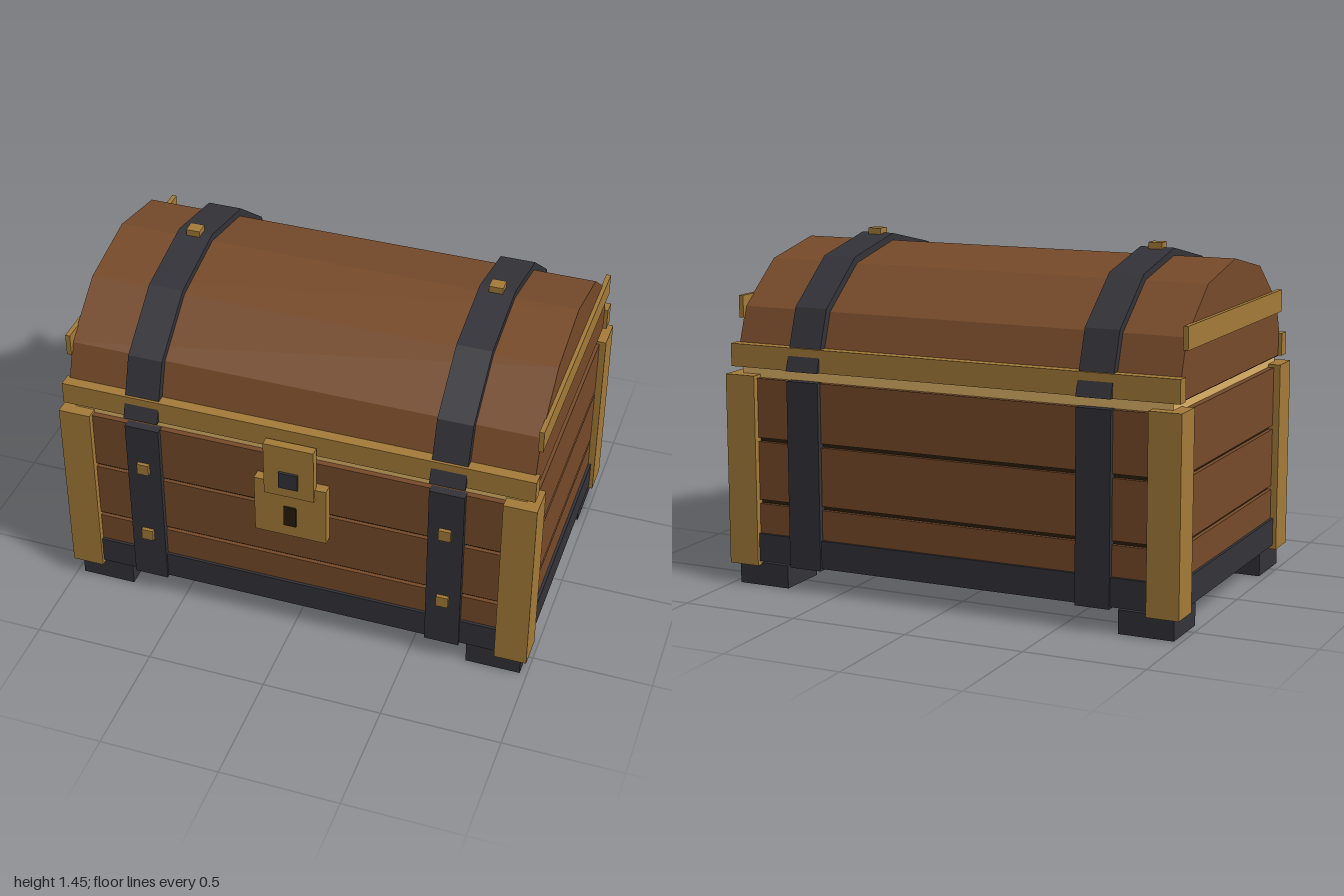
import * as THREE from 'three';

const mat = (name, color) => {
  const m = new THREE.MeshStandardMaterial({ color });
  m.name = name;
  return m;
};

export function createModel() {
  const wood = mat('wood', 0x774b2a);
  const brass = mat('brass', 0xa57c39);
  const iron = mat('iron', 0x333339);
  const pale = mat('paleTrim', 0xdfb468);
  const dark = mat('darkSeam', 0x2a1c0a);

  const root = new THREE.Group();
  root.name = 'treasureChest';
  // The chest body is centred slightly behind the origin, as the lock sticks out in front
  const chest = new THREE.Group();
  chest.name = 'chest';
  chest.position.z = -0.02;
  root.add(chest);

  // Box given by its extents on each axis
  const box = (name, m, [x0, x1], [y0, y1], [z0, z1]) => {
    const mesh = new THREE.Mesh(new THREE.BoxGeometry(x1 - x0, y1 - y0, z1 - z0), m);
    mesh.name = name;
    mesh.position.set((x0 + x1) / 2, (y0 + y1) / 2, (z0 + z1) / 2);
    chest.add(mesh);
  };
  const span = (c, w) => [c - w / 2, c + w / 2];
  const side = (s, a, b) => (s > 0 ? [a, b] : [-b, -a]);

  // Body: dark core showing through the gaps between three plank courses on each wall
  box('core', dark, [-0.955, 0.955], [0.125, 0.875], [-0.609, 0.609]);
  for (const [y0, y1] of [[0.11, 0.352], [0.369, 0.614], [0.631, 0.879]])
    for (const s of [1, -1]) {
      box('longPlank', wood, [-0.972, 0.972], [y0, y1], side(s, 0.585, 0.626));
      box('endPlank', wood, side(s, 0.931, 0.972), [y0, y1], [-0.585, 0.585]);
    }
  box('rim', pale, [-0.947, 0.947], [0.875, 0.922], [-0.602, 0.602]);

  // Iron band around the base
  for (const s of [1, -1]) {
    box('baseBandLong', iron, [-0.984, 0.984], [0.108, 0.226], side(s, 0.622, 0.638));
    box('baseBandEnd', iron, side(s, 0.968, 0.984), [0.108, 0.226], [-0.622, 0.622]);
  }

  // Corner posts and feet
  for (const sx of [1, -1])
    for (const sz of [1, -1]) {
      box('cornerPost', brass, side(sx, 0.865, 1), [0.09, 0.892], side(sz, 0.516, 0.652));
      box('foot', iron, side(sx, 0.74, 0.97), [0, 0.097], side(sz, 0.39, 0.622));
    }

  // Half ellipse in six straight steps, sitting on the lid line
  const arc = (a, b) => Array.from({ length: 7 }, (_, i) => {
    const t = (i * Math.PI) / 6;
    return new THREE.Vector2(a * Math.cos(t), b * Math.sin(t));
  });
  // Extrude a profile along x, centred on cx
  const extrudeX = (name, m, points, cx, width) => {
    const geo = new THREE.ExtrudeGeometry(new THREE.Shape(points), { depth: width, bevelEnabled: false });
    geo.translate(0, 0, -width / 2);
    geo.rotateY(Math.PI / 2);
    const mesh = new THREE.Mesh(geo, m);
    mesh.name = name;
    mesh.position.set(cx, 0.923, 0);
    chest.add(mesh);
  };

  // Barrel lid with its dark underside and rails
  extrudeX('lid', wood, arc(0.617, 0.475), 0, 1.94);
  box('lidUnderside', dark, [-0.968, 0.968], [0.92, 0.926], [-0.612, 0.612]);
  for (const s of [1, -1]) {
    box('lidRail', brass, [-0.985, 0.985], [0.922, 1.017], side(s, 0.575, 0.631));
    box('lidEndRail', brass, side(s, 0.966, 0.986), [1.114, 1.207], [-0.56, 0.56]);
  }

  // Iron straps over lid and body, with brass studs
  for (const x of [-0.64, 0.64]) {
    extrudeX('lidStrap', iron, [...arc(0.652, 0.505), ...arc(0.61, 0.47).reverse()], x, 0.145);
    box('lidStud', brass, span(x, 0.058), [1.4, 1.449], span(0, 0.055));
    for (const s of [1, -1])
      box('bodyStrap', iron, span(x, 0.145), [0.1, 0.882], side(s, 0.61, 0.648));
    for (const y of [0.681, 0.331])
      box('stud', brass, span(x, 0.05), span(y, 0.05), [0.64, 0.664]);
  }

  // Lock plate, hasp, staple and keyhole
  box('lockPlate', brass, [-0.152, 0.152], [0.51, 0.777], [0.62, 0.668]);
  box('hasp', brass, [-0.105, 0.105], [0.723, 0.97], [0.643, 0.681]);
  box('staple', iron, span(0, 0.08), [0.772, 0.847], [0.675, 0.692]);
  box('keyhole', dark, span(0, 0.052), [0.567, 0.662], [0.667, 0.676]);

  return root;
}
